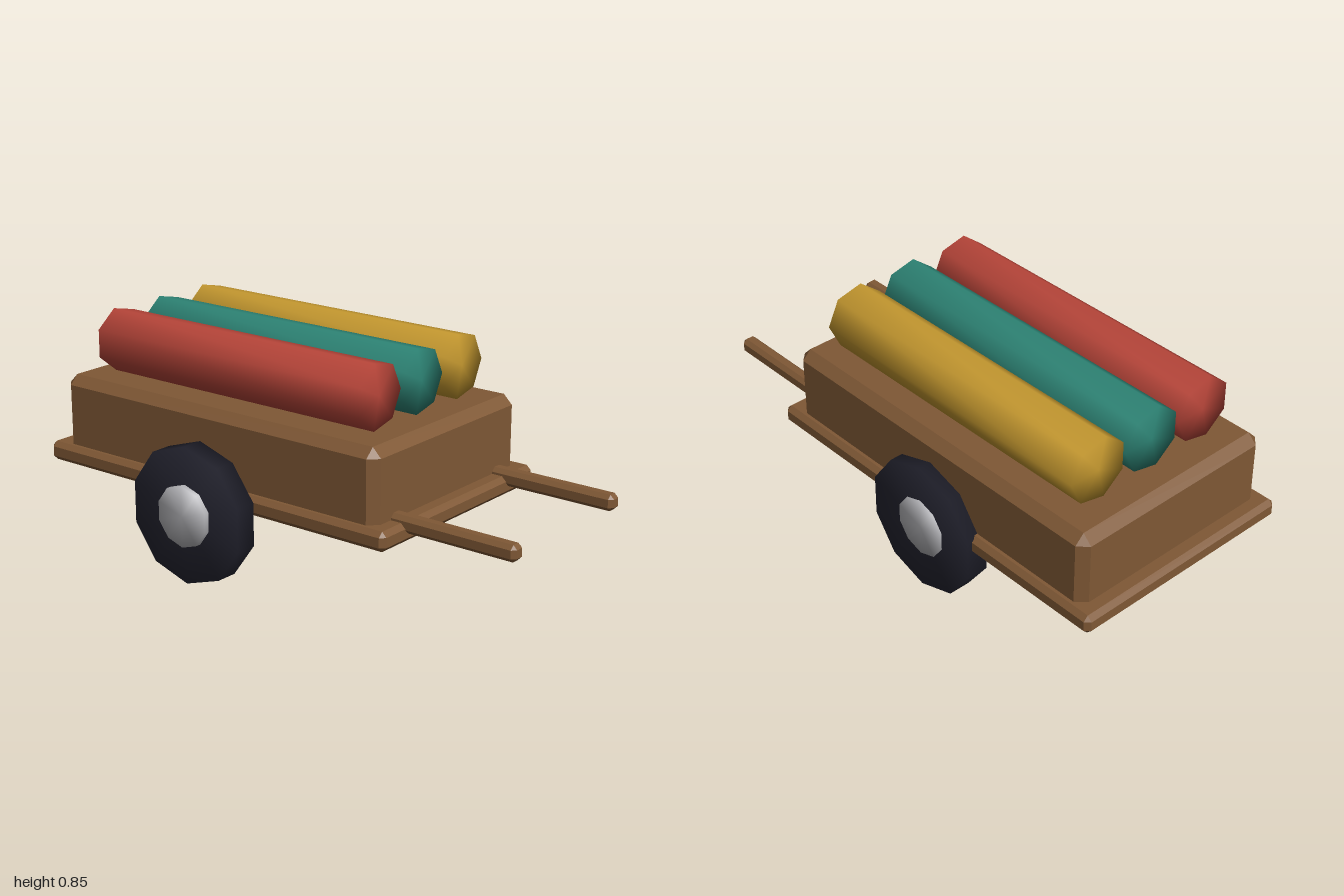
import * as THREE from 'three';
import { mergeVertices } from 'three/addons/utils/BufferGeometryUtils.js';
import { ConvexGeometry } from 'three/addons/geometries/ConvexGeometry.js';

const material = (name, color) => {
  const m = new THREE.MeshStandardMaterial({ color });
  m.name = name;
  return m;
};

// Box between two corners with every edge chamfered by c
function chamferBox(min, max, c) {
  const half = max.map((v, i) => (v - min[i]) / 2);
  const points = [];
  for (const sx of [-1, 1]) for (const sy of [-1, 1]) for (const sz of [-1, 1]) {
    for (let axis = 0; axis < 3; axis++) {
      const p = [sx, sy, sz].map((s, i) => s * (half[i] - (i === axis ? 0 : c)));
      points.push(new THREE.Vector3(...p));
    }
  }
  const g = new ConvexGeometry(points);
  g.translate(...min.map((v, i) => (v + max[i]) / 2));
  return g;
}

// Low-sided cylinder with normals blended over sides and caps
function softCylinder(radius, length, sides) {
  const g = new THREE.CylinderGeometry(radius, radius, length, sides);
  g.deleteAttribute('uv');
  g.deleteAttribute('normal');
  const merged = mergeVertices(g);
  merged.computeVertexNormals();
  return merged;
}

export function createModel() {
  const wood = material('wood', 0x7f5835);
  const tyre = material('dark tyre', 0x242430);
  const metal = material('grey metal', 0xb4b4b8);
  const cloths = [
    material('red cloth', 0xb9463a),
    material('teal cloth', 0x2e8576),
    material('yellow cloth', 0xc79a30),
  ];

  const cart = new THREE.Group();
  cart.name = 'handcart';
  const add = (name, geometry, mat, x = 0, y = 0, z = 0) => {
    const mesh = new THREE.Mesh(geometry, mat);
    mesh.name = name;
    mesh.position.set(x, y, z);
    cart.add(mesh);
  };

  // Flat bed and the box on it
  add('bed', chamferBox([-1, 0.27, -0.503], [0.57, 0.342, 0.403], 0.018), wood);
  add('cargoBox', chamferBox([-0.94, 0.3, -0.473], [0.51, 0.607, 0.373], 0.035), wood);

  // Pull handles
  for (const z of [0.252, -0.352]) {
    add('handle', chamferBox([0.4, 0.305, z - 0.029], [1, 0.365, z + 0.029], 0.015), wood);
  }

  // Wheels, with hubs set slightly towards the front
  const wheel = softCylinder(0.254, 0.084, 10).rotateX(Math.PI / 2);
  const hub = softCylinder(0.114, 0.107, 10).rotateX(Math.PI / 2);
  for (const z of [0.466, -0.48]) {
    add('wheel', wheel, tyre, -0.213, 0.254, z);
    add('hub', hub, metal, -0.213, 0.256, z + 0.0085);
  }

  // Rolls of cloth lying along the box
  const roll = softCylinder(0.1215, 1.21, 7).rotateY(Math.PI).rotateZ(Math.PI / 2);
  cloths.forEach((cloth, i) => {
    add('clothRoll', roll, cloth, -0.215, 0.73, 0.193 - i * 0.2425);
  });

  return cart;
}
